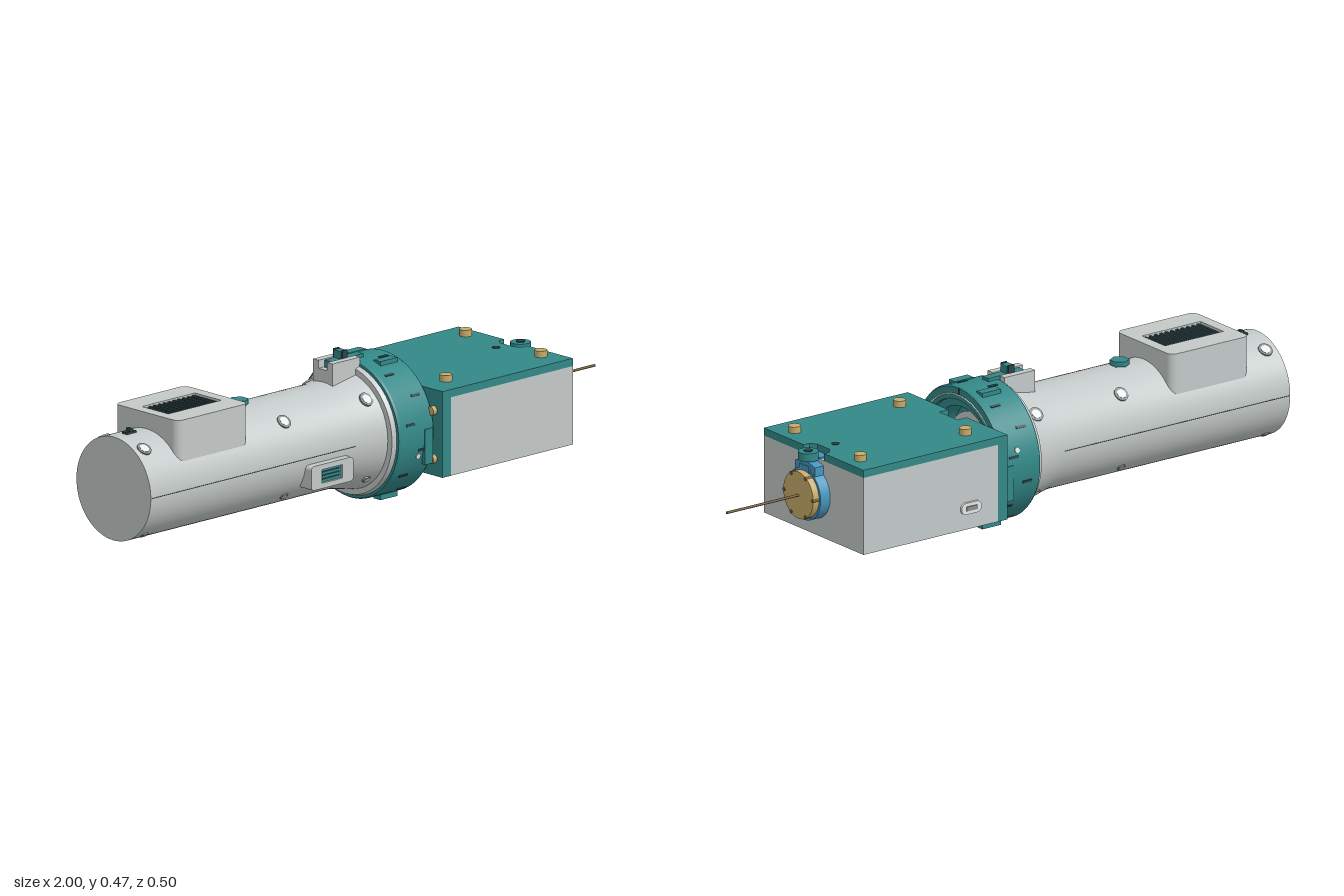
import * as THREE from 'three';
import { toCreasedNormals } from 'three/addons/utils/BufferGeometryUtils.js';

const AXIS_Y = 0.221;

export function createModel() {
  const root = new THREE.Group();
  root.name = 'instrument';
  const mat = (name, color) => {
    const m = new THREE.MeshStandardMaterial({ color });
    m.name = name;
    return m;
  };
  const grey = mat('shell grey', 0xc3c9c8);
  const pale = mat('pale grey', 0xe8eceb);
  const shade = mat('mid grey', 0x858e8e);
  const teal = mat('teal', 0x338888);
  const dark = mat('dark teal', 0x2c4448);
  const gold = mat('brass', 0xc8ab6a);
  const blue = mat('blue', 0x4596bf);
  const wireMat = mat('wire brown', 0x6e5c36);

  const add = (name, geo, material, x = 0, y = 0, z = 0, parent = root) => {
    const m = new THREE.Mesh(geo, material);
    m.name = name;
    m.position.set(x, y, z);
    parent.add(m);
    return m;
  };
  // box given by its limits
  const block = (name, material, x0, x1, y0, y1, z0, z1) =>
    add(name, new THREE.BoxGeometry(x1 - x0, y1 - y0, z1 - z0), material, (x0 + x1) / 2, (y0 + y1) / 2, (z0 + z1) / 2);
  const post = (name, material, r, x, y0, y1, z, sides = 24) =>
    add(name, new THREE.CylinderGeometry(r, r, y1 - y0, sides), material, x, (y0 + y1) / 2, z);
  const rod = (name, material, r, x0, x1, y = AXIS_Y, z = 0, sides = 48) =>
    add(name, new THREE.CylinderGeometry(r, r, x1 - x0, sides).rotateZ(-Math.PI / 2), material, (x0 + x1) / 2, y, z);
  // profile of [radius, x] turned about the long axis
  const turned = (name, material, profile) => {
    const pts = profile.map(p => new THREE.Vector2(p[0], p[1]));
    const geo = new THREE.LatheGeometry(pts, 72).rotateZ(-Math.PI / 2);
    return add(name, toCreasedNormals(geo, 0.5), material, 0, AXIS_Y, 0);
  };
  const roundedRect = (w, h, r) => {
    const s = new THREE.Shape();
    s.absarc(w / 2 - r, h / 2 - r, r, 0, Math.PI / 2);
    s.absarc(-w / 2 + r, h / 2 - r, r, Math.PI / 2, Math.PI);
    s.absarc(-w / 2 + r, -h / 2 + r, r, Math.PI, Math.PI * 1.5);
    s.absarc(w / 2 - r, -h / 2 + r, r, Math.PI * 1.5, Math.PI * 2);
    s.closePath();
    return s;
  };
  const rectHole = (w, h) => new THREE.Path([[-w, -h], [-w, h], [w, h], [w, -h]].map(p => new THREE.Vector2(p[0] / 2, p[1] / 2)));
  const extrude = (shape, depth) => new THREE.ExtrudeGeometry(shape, { depth, bevelEnabled: false, curveSegments: 8 });

  // Main tube, flaring to a flange
  turned('bodyTube', grey, [[0, -1], [0.161, -1], [0.161, -0.15], [0.182, -0.035], [0.2, -0.035], [0.205, -0.02], [0, -0.02]]);
  for (const s of [-1, 1]) block('bodySeam', dark, -0.998, -0.15, AXIS_Y - 0.001, AXIS_Y + 0.001, s * 0.161 - 0.001, s * 0.161 + 0.001);

  // Screw wells along the tube, wider on the upper half
  for (const [x, z, R] of [[-0.96, 0.09, 0.161], [-0.4, 0.112, 0.161], [-0.07, 0.125, 0.176]]) {
    for (const sz of [-1, 1]) for (const sy of [-1, 1]) {
      const g = new THREE.Group();
      g.name = 'screwWell';
      const dir = new THREE.Vector3(0, sy * Math.sqrt(R * R - z * z), sz * z);
      g.position.copy(dir).add(new THREE.Vector3(x, AXIS_Y, 0));
      g.quaternion.setFromUnitVectors(new THREE.Vector3(0, 1, 0), dir.clone().normalize());
      const r = sy > 0 ? 0.023 : 0.014;
      add('wellRim', new THREE.CylinderGeometry(r, r, 0.006, 24), shade, 0, 0, 0, g);
      add('wellCentre', new THREE.CylinderGeometry(r * 0.65, r * 0.65, 0.008, 24), pale, 0, 0, 0, g);
      root.add(g);
    }
  }

  // Vented housing on top
  const housing = roundedRect(0.295, 0.276, 0.025);
  housing.holes.push(rectHole(0.22, 0.114));
  add('ventHousing', extrude(housing, 0.192).rotateX(-Math.PI / 2), grey, -0.7175, 0.24, 0);
  block('ventFloor', dark, -0.83, -0.605, 0.38, 0.41, -0.058, 0.058);
  for (let i = 0; i < 11; i++) {
    const x = -0.817 + i * 0.02;
    block('ventSlat', dark, x - 0.004, x + 0.004, 0.41, 0.427, -0.057, 0.057);
  }

  // Top knob and rear switch
  post('topKnobNeck', teal, 0.018, -0.48, 0.37, 0.386, 0);
  post('topKnob', teal, 0.03, -0.48, 0.384, 0.4, 0, 6);
  block('rearSwitch', dark, -0.955, -0.915, 0.375, 0.388, -0.01, 0.01);
  block('rearSwitchLever', dark, -0.942, -0.93, 0.385, 0.398, -0.008, 0.008);

  // Side port on the front
  const port = roundedRect(0.175, 0.075, 0.012);
  port.holes.push(rectHole(0.085, 0.042));
  add('sidePort', extrude(port, 0.075), grey, -0.267, 0.163, 0.109);
  block('sidePortPlug', teal, -0.31, -0.224, 0.142, 0.184, 0.13, 0.176);
  for (let i = 0; i < 3; i++) block('sidePortSlit', dark, -0.303, -0.231, 0.15 + i * 0.011, 0.154 + i * 0.011, 0.175, 0.178);

  // Latch saddle over the flare
  for (const s of [-1, 1]) {
    block('latchCheek', grey, -0.13, -0.015, 0.36, 0.45, s > 0 ? 0.018 : -0.042, s > 0 ? 0.042 : -0.018);
    block('latchFin', dark, -0.068, -0.046, 0.4, 0.475, s * 0.018 - 0.002, s * 0.018 + 0.002);
  }
  block('latchBase', grey, -0.13, -0.015, 0.36, 0.425, -0.02, 0.02);
  block('latchLever', teal, -0.11, 0.025, 0.425, 0.448, -0.014, 0.014);
  block('latchHead', teal, -0.07, -0.044, 0.448, 0.472, -0.015, 0.015);

  // Locking ring with a recessed face
  turned('lockingRing', teal, [[0, -0.019], [0.213, -0.019], [0.217, -0.012], [0.217, 0.118], [0.213, 0.125],
    [0.175, 0.125], [0.175, 0.11], [0.15, 0.11], [0.15, 0.035], [0, 0.035]]);
  add('ringInlay', new THREE.TorusGeometry(0.19, 0.0025, 6, 72).rotateY(Math.PI / 2), pale, 0.125, AXIS_Y, 0);
  turned('ringHub', grey, [[0.125, 0.034], [0.125, 0.07], [0.1, 0.07], [0.1, 0.04], [0, 0.04]]);
  for (let i = 0; i < 16; i++) {
    const g = new THREE.Group();
    g.name = 'ringSlot';
    g.position.y = AXIS_Y;
    g.rotation.x = (i + 0.5) * Math.PI / 8;
    add('slot', new THREE.BoxGeometry(0.035, 0.004, 0.008), dark, i % 2 ? 0.03 : 0.08, 0.217, 0, g);
    if (i % 4 === 0) add('ringScrew', new THREE.CylinderGeometry(0.009, 0.009, 0.005, 16), pale, 0.065, 0.217, 0.02, g);
    root.add(g);
  }
  for (const s of [-1, 1]) {
    for (const y of [0.012, 0.427]) block('ringLug', teal, 0.03, 0.1, y - 0.008, y + 0.008, s * 0.068 - 0.015, s * 0.068 + 0.015);
    block('ringPad', teal, 0.085, 0.118, 0.13, 0.24, s * 0.212 - 0.007, s * 0.212 + 0.007);
    block('faceMark', dark, 0.124, 0.127, AXIS_Y + s * 0.203 - 0.011, AXIS_Y + s * 0.203 + 0.011, -0.0015, 0.0015);
  }

  // Instrument box with lid and split mounting plate
  block('instrumentBox', grey, 0.165, 0.672, 0.087, 0.331, -0.247, 0.247);
  const lid = new THREE.Shape([
    [0.13, -0.247], [0.672, -0.247], [0.672, -0.05], [0.65, -0.05], [0.635, -0.03], [0.635, 0.03], [0.65, 0.05],
    [0.672, 0.05], [0.672, 0.247], [0.13, 0.247], [0.13, 0.045], [0.165, 0.045], [0.165, -0.045], [0.13, -0.045],
  ].map(p => new THREE.Vector2(p[0], p[1])));
  add('boxLid', extrude(lid, 0.024).rotateX(-Math.PI / 2), teal, 0, 0.331, 0);
  for (const s of [-1, 1]) {
    block('mountPlate', teal, 0.13, 0.165, 0.087, 0.331, s > 0 ? 0.045 : -0.247, s > 0 ? 0.247 : -0.045);
    for (const x of [0.225, 0.62]) post('lidBolt', gold, 0.019, x, 0.35, 0.375, s * 0.163);
    for (const y of [0.14, 0.29]) rod('plateBolt', gold, 0.014, 0.115, 0.135, y, s * 0.21, 20);
    post('bottomPlug', gold, 0.015, 0.19, 0.082, 0.09, s * 0.055);
  }
  post('lidPin', dark, 0.012, 0.59, 0.35, 0.357, 0);

  // Connector on the rear wall
  add('rearConnector', extrude(roundedRect(0.075, 0.036, 0.017), 0.008), pale, 0.27, 0.155, -0.255);
  block('rearConnectorSlot', shade, 0.25, 0.29, 0.148, 0.162, -0.258, -0.254);

  // Clamp, end cap and wire
  rod('clampRing', blue, 0.082, 0.66, 0.708);
  const neck = new THREE.Shape();
  neck.moveTo(-0.049, -0.04);
  neck.lineTo(0.049, -0.04);
  neck.lineTo(0.049, 0.045);
  neck.quadraticCurveTo(0, 0.065, -0.049, 0.045);
  neck.closePath();
  add('clampNeck', extrude(neck, 0.035).rotateY(Math.PI / 2), blue, 0.67, 0.27, 0);
  block('clampTab', blue, 0.638, 0.672, 0.32, 0.336, -0.03, 0.03);
  block('clampSlot', blue, 0.7, 0.709, 0.285, 0.312, -0.024, 0.024);
  post('clampStem', gold, 0.007, 0.692, 0.31, 0.335, 0);
  post('clampKnob', teal, 0.031, 0.692, 0.328, 0.354, 0);
  post('clampKnobHex', dark, 0.014, 0.692, 0.35, 0.357, 0, 6);
  rod('endCap', gold, 0.074, 0.7, 0.73);
  for (let i = 0; i < 6; i++) {
    const a = i * Math.PI / 3;
    rod('capScrew', wireMat, 0.006, 0.7, 0.732, AXIS_Y + Math.sin(a) * 0.07, Math.cos(a) * 0.07, 12);
  }
  rod('wire', wireMat, 0.004, 0.72, 1, AXIS_Y, 0, 12);
  return root;
}
